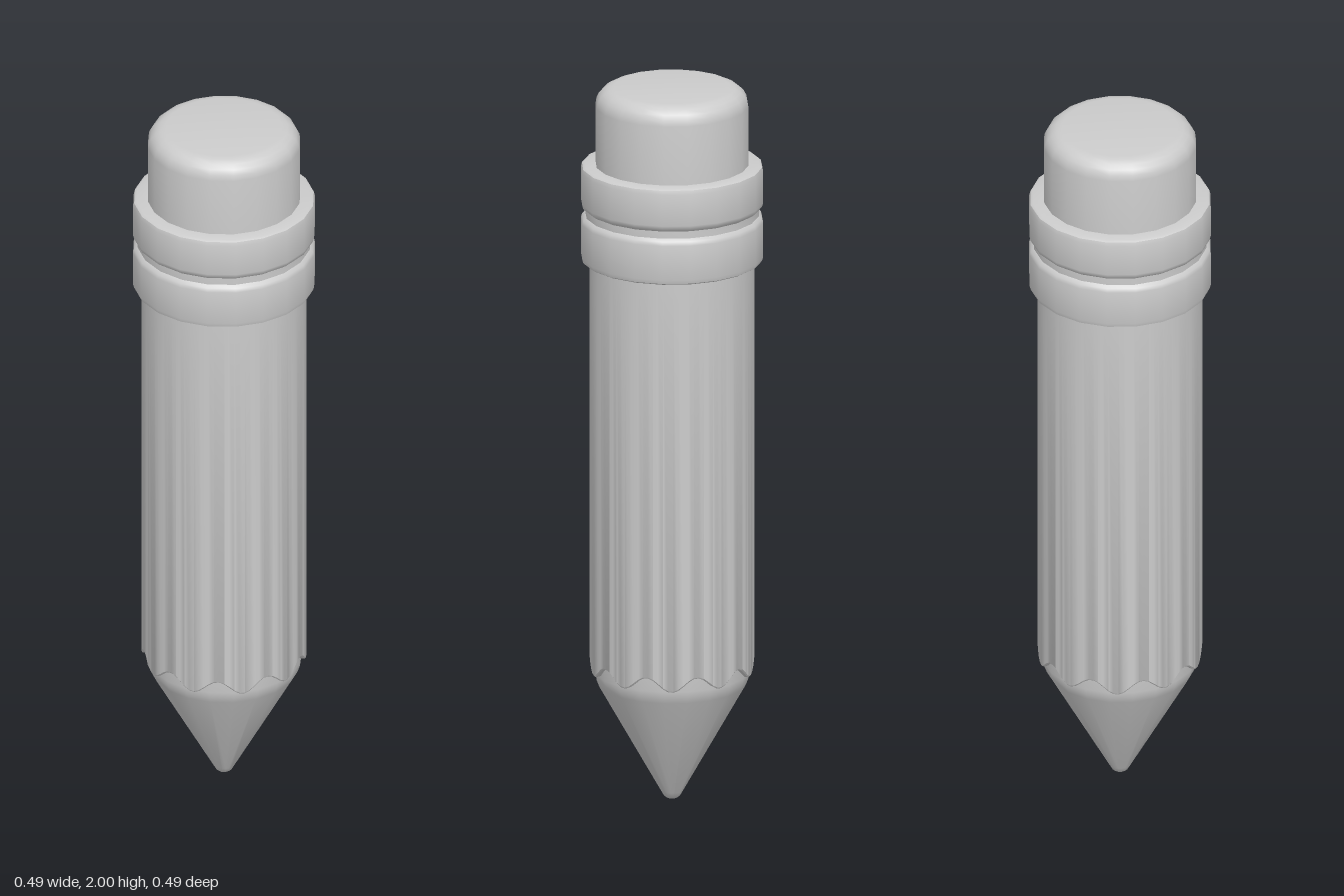
import * as THREE from 'three';
import { toCreasedNormals } from 'three/addons/utils/BufferGeometryUtils.js';

const SIDES = 20;
const grey = new THREE.MeshStandardMaterial({ color: 0xcccccc, side: THREE.DoubleSide });

// Turned part from a bottom-to-top [radius, y] profile; shape() may move vertices.
function turned(name, profile, sides = SIDES, shape = null) {
  const points = profile.map(([r, y]) => new THREE.Vector2(r, y));
  const geometry = new THREE.LatheGeometry(points, sides);
  if (shape) shape(geometry.attributes.position);
  const mesh = new THREE.Mesh(toCreasedNormals(geometry, 0.7), grey);
  mesh.name = name;
  return mesh;
}

// Quarter-round corner between a wall and a top face.
function roundedTop(r, y, radius, steps) {
  return Array.from({ length: steps + 1 }, (_, i) => {
    const a = (i / steps) * Math.PI / 2;
    return [r - radius + radius * Math.cos(a), y - radius + radius * Math.sin(a)];
  });
}

// Scalloped lower edge of the paint: ten waves around the shaft.
function scallop(position) {
  for (let i = 0; i < position.count; i++) {
    if (position.getY(i) > 0.5) continue;
    const angle = Math.atan2(position.getX(i), position.getZ(i));
    const wave = 0.019 * Math.cos(10 * (angle - THREE.MathUtils.degToRad(24)));
    position.setY(i, position.getY(i) + wave);
  }
}

export function createModel() {
  const group = new THREE.Group();
  group.name = 'pencil';

  // Sharpened wood with a small blunt tip
  group.add(turned('sharpenedTip', [
    [0, 0], [0.014, 0.002], [0.022, 0.008], [0.03, 0.022],
    [0.2, 0.325], [0.207, 0.343], [0.21, 0.36], [0.21, 0.45],
  ]));

  // Painted shaft with a thin wavy lip
  group.add(turned('shaft', [
    [0.205, 0.38], [0.219, 0.38], [0.222, 0.384], [0.222, 1.53],
  ], 100, scallop));

  // Metal collar: two bands with a groove between them
  group.add(turned('collar', [
    [0.2, 1.515], [0.237, 1.515], [0.244, 1.519], [0.247, 1.53],
    [0.247, 1.626], [0.244, 1.637], [0.235, 1.644],
    [0.235, 1.664], [0.244, 1.671], [0.247, 1.682],
    [0.247, 1.77], [0.244, 1.781], [0.237, 1.785], [0.19, 1.785],
  ]));

  // Eraser with a rounded top edge
  group.add(turned('eraser', [
    [0.207, 1.74], ...roundedTop(0.207, 2, 0.05, 5), [0, 2],
  ]));

  return group;
}
